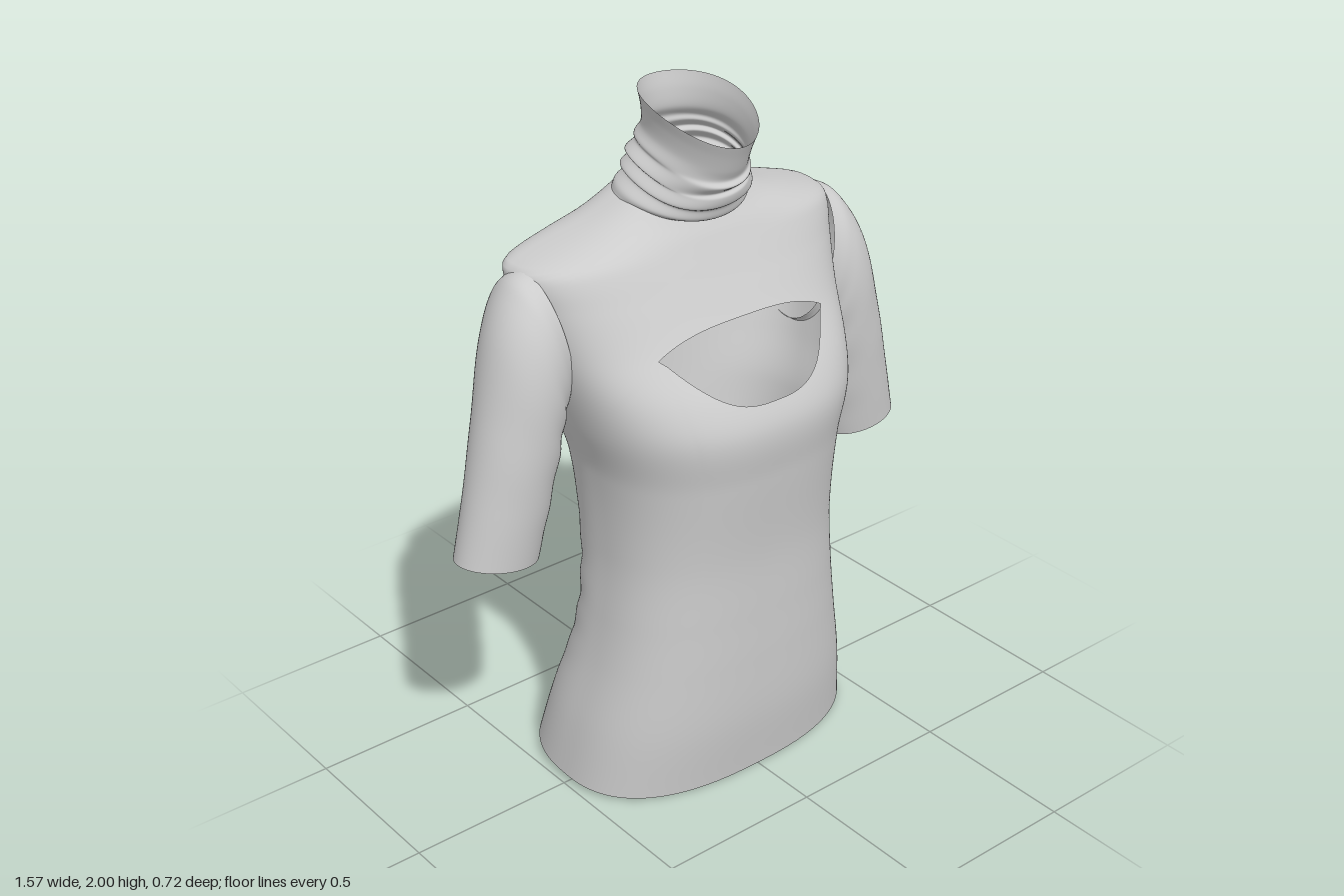
import * as THREE from 'three';
import { mergeGeometries, mergeVertices } from 'three/addons/utils/BufferGeometryUtils.js';

const fabric = new THREE.MeshStandardMaterial({ color: 0xcccccc, side: THREE.DoubleSide });

// Smooth interpolation of table rows keyed by their first column
function sample(rows, key) {
  const last = rows.length - 1;
  let i = 0;
  while (i < last - 1 && key > rows[i + 1][0]) i++;
  const slope = (k, c) => {
    const a = rows[Math.max(k - 1, 0)], b = rows[Math.min(k + 1, last)];
    return (b[c] - a[c]) / (b[0] - a[0]);
  };
  const h = rows[i + 1][0] - rows[i][0];
  const t = THREE.MathUtils.clamp((key - rows[i][0]) / h, 0, 1), t2 = t * t, t3 = t2 * t;
  return rows[i].map((v, c) => (2 * t3 - 3 * t2 + 1) * v + (t3 - 2 * t2 + t) * h * slope(i, c)
    + (3 * t2 - 2 * t3) * rows[i + 1][c] + (t3 - t2) * h * slope(i + 1, c));
}

// Closed sheet: point(angle, v) swept around and along, leaving out cells where skip(centre) holds
function sheet(around, along, point, skip = () => false) {
  const pos = [], index = [], pts = [];
  for (let j = 0; j <= along; j++) {
    for (let i = 0; i < around; i++) {
      const p = point((i / around) * Math.PI * 2, j / along);
      pts.push(p);
      pos.push(p.x, p.y, p.z);
    }
  }
  for (let j = 0; j < along; j++) {
    for (let i = 0; i < around; i++) {
      const a = j * around + i, b = j * around + (i + 1) % around, c = b + around, d = a + around;
      if (!skip(pts[a].clone().add(pts[c]).multiplyScalar(0.5))) index.push(a, b, c, a, c, d);
    }
  }
  const g = new THREE.BufferGeometry();
  g.setAttribute('position', new THREE.Float32BufferAttribute(pos, 3));
  g.setIndex(index);
  return g;
}

function cloth(name, geometry) {
  const g = mergeVertices(geometry, 1e-5);
  g.computeVertexNormals();
  const mesh = new THREE.Mesh(g, fabric);
  mesh.name = name;
  return mesh;
}

// Torso sections: y, half width, front z, z of widest point, back z
const torso = [
  [0, 0.49, 0.285, -0.02, -0.37], [0.2, 0.457, 0.31, 0, -0.305], [0.4, 0.412, 0.318, 0.03, -0.24],
  [0.55, 0.388, 0.32, 0.04, -0.215], [0.75, 0.37, 0.325, 0.04, -0.235], [1.0, 0.382, 0.352, 0.02, -0.27],
  [1.15, 0.425, 0.366, -0.02, -0.285], [1.25, 0.452, 0.325, -0.05, -0.297], [1.38, 0.483, 0.222, -0.08, -0.303],
  [1.5, 0.51, 0.15, -0.11, -0.292], [1.57, 0.525, 0.112, -0.13, -0.277], [1.6, 0.51, 0.096, -0.14, -0.268],
  [1.63, 0.42, 0.08, -0.14, -0.257], [1.67, 0.29, 0.055, -0.12, -0.24], [1.735, 0.165, 0.02, -0.1, -0.21],
];

function torsoPoint(u, y) {
  const [, w, front, mid, back] = sample(torso, y);
  const s = Math.sin(u), c = Math.cos(u), e = 2 / 2.5;
  const x = w * Math.sign(s) * Math.abs(s) ** e;
  const z = mid + (c > 0 ? front - mid : mid - back) * Math.sign(c) * Math.abs(c) ** e;
  // Drape folds hanging across the small of the back
  const fade = Math.max(0, -c) * Math.exp(-(((y - 0.58) / 0.2) ** 2));
  return new THREE.Vector3(x, y, z + 0.009 * fade * Math.sin(48 * (y - 0.9 * x * x) + 2 * x));
}

// Curved lower edge of the yoke, and the scooped edge under the keyhole
const HOLE = 0.265;
const yokeEdge = (x) => 1.42 - 0.22 * Math.min(Math.abs(x) / 0.45, 1) ** 2.9;
function cutLine(u, scooped) {
  if (Math.cos(u) <= 0) return 1.2;
  const x = Math.abs(torsoPoint(u, 1.25).x);
  if (!scooped || x > HOLE) return yokeEdge(x);
  return 1.225 + (yokeEdge(HOLE) - 1.225) * (x / HOLE) ** 3;
}

function bodice() {
  const armhole = (p) => Math.abs(p.x) > 0.4 && ((p.y - 1.4) / 0.15) ** 2 + ((p.z + 0.09) / 0.1) ** 2 < 1;
  const lower = sheet(160, 80, (u, v) => {
    const hem = 0.02 - 0.02 * Math.cos(u);
    return torsoPoint(u, THREE.MathUtils.lerp(hem, cutLine(u, true), v));
  }, armhole);
  const yoke = sheet(160, 44, (u, v) => torsoPoint(u, THREE.MathUtils.lerp(cutLine(u, false), 1.735, v)), armhole);
  return cloth('bodice', mergeGeometries([lower, yoke]));
}

// Sleeve sections: step, inner x, inner y, outer x, outer y, centre z, half depth
const sleeveRows = [
  [0, 0.42, 1.19, 0.505, 1.598, -0.095, 0.14], [1, 0.44, 1.175, 0.565, 1.56, -0.085, 0.15],
  [2, 0.455, 1.14, 0.635, 1.44, -0.065, 0.142], [3, 0.475, 1.06, 0.695, 1.22, -0.05, 0.124],
  [4, 0.51, 0.92, 0.742, 1.02, -0.045, 0.108], [5, 0.54, 0.79, 0.787, 0.83, -0.047, 0.097],
];

function sleeve(name, side) {
  return cloth(name, sheet(64, 50, (a, v) => {
    const [, ix, iy, ox, oy, zc, rz] = sample(sleeveRows, v * 5);
    const t = (1 + Math.cos(a)) / 2;
    // Soft folds at the underarm
    const fold = 0.004 * (1 - t) * Math.sin(v * 30) * Math.sin(Math.PI * v);
    return new THREE.Vector3(side * (ix + (ox - ix) * t + fold), iy + (oy - iy) * t, zc + side * rz * Math.sin(a));
  }));
}

// Collar sections: step, front y, front z, back y, back z, half width
const collarRows = [
  [0, 1.66, 0.065, 1.725, -0.225, 0.195], [1, 1.672, 0.1, 1.745, -0.222, 0.19],
  [2, 1.7, 0.112, 1.765, -0.2, 0.166], [3, 1.712, 0.13, 1.785, -0.215, 0.18],
  [4, 1.738, 0.138, 1.81, -0.196, 0.158], [5, 1.752, 0.13, 1.825, -0.205, 0.166],
  [6, 1.772, 0.155, 1.85, -0.186, 0.143], [7, 1.79, 0.145, 1.87, -0.186, 0.144],
  [8, 1.82, 0.158, 1.9, -0.168, 0.131], [9, 1.86, 0.174, 1.95, -0.168, 0.133],
  [10, 1.895, 0.19, 2.0, -0.178, 0.142],
];

function collar() {
  return cloth('rollNeck', sheet(80, 80, (u, v) => {
    const [, yf, zf, yb, zb, w] = sample(collarRows, v * 10);
    const t = (1 + Math.cos(u)) / 2;
    const lift = 0.025 * Math.sin(u) ** 2;
    const crumple = 0.008 * Math.sin(3 * u + 1) * Math.sin(Math.PI * Math.min(v / 0.75, 1));
    return new THREE.Vector3(w * Math.sin(u), yb + (yf - yb) * t + lift + crumple, zb + (zf - zb) * t);
  }));
}

export function createModel() {
  const group = new THREE.Group();
  group.name = 'rollNeckTop';
  group.add(bodice(), sleeve('leftSleeve', 1), sleeve('rightSleeve', -1), collar());
  return group;
}
